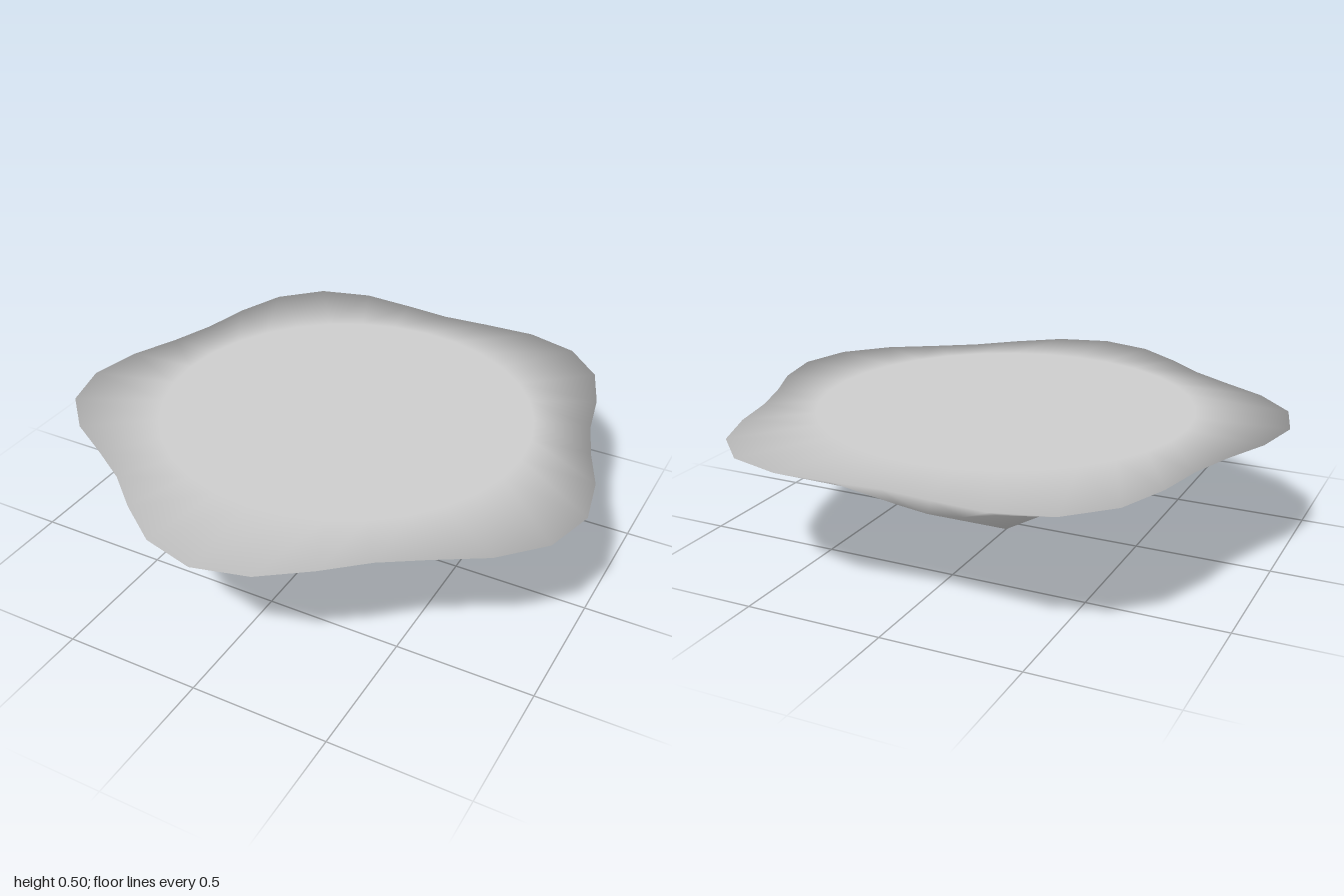
import * as THREE from 'three';

const SEGMENTS = 32;
const CENTRE_Z = -0.063;

// Rings from the bottom tip to the flat top: height, mean radius, number and depth
// of the lobes, and how far the smooth normal leans outward and upward.
const RINGS = [
  { y: 0.295, radius: 0.532, lobes: 3, depth: -0.072, out: 0.78, up: -0.62 },
  { y: 0.486, radius: 0.96, lobes: 5, depth: 0.072, out: 1, up: 0.12 },
  { y: 0.5, radius: 0.69, lobes: 0, depth: 0, out: 0, up: 1 },
];

// Closed skin through the rings, with a single point at each end.
function lobedShell(rings, bottomY, topY) {
  const positions = [0, bottomY, CENTRE_Z];
  const normals = [0, -1, 0];
  const index = [];
  for (const { y, radius, lobes, depth, out, up } of rings) {
    for (let i = 0; i < SEGMENTS; i++) {
      const a = (i / SEGMENTS) * Math.PI * 2;
      const r = radius + depth * Math.cos(lobes * a);
      positions.push(r * Math.sin(a), y, CENTRE_Z + r * Math.cos(a));
      normals.push(out * Math.sin(a), up, out * Math.cos(a));
    }
  }
  positions.push(0, topY, CENTRE_Z);
  normals.push(0, 1, 0);
  const top = positions.length / 3 - 1;
  const at = (ring, i) => 1 + ring * SEGMENTS + (i % SEGMENTS);
  const last = rings.length - 1;

  for (let i = 0; i < SEGMENTS; i++) {
    index.push(0, at(0, i + 1), at(0, i));
    for (let k = 0; k < last; k++) {
      index.push(at(k, i), at(k, i + 1), at(k + 1, i + 1));
      index.push(at(k, i), at(k + 1, i + 1), at(k + 1, i));
    }
    index.push(at(last, i), at(last, i + 1), top);
  }

  const geometry = new THREE.BufferGeometry();
  geometry.setAttribute('position', new THREE.Float32BufferAttribute(positions, 3));
  geometry.setAttribute('normal', new THREE.Float32BufferAttribute(normals, 3));
  geometry.setIndex(index);
  geometry.normalizeNormals();
  return geometry;
}

export function createModel() {
  const model = new THREE.Group();
  model.name = 'floatingIsland';

  const stone = new THREE.MeshStandardMaterial({ color: 0xcccccc });
  stone.name = 'light grey';

  // Flat-topped body tapering to a point underneath
  const body = new THREE.Mesh(lobedShell(RINGS, 0, 0.5), stone);
  body.name = 'islandBody';
  model.add(body);
  return model;
}
